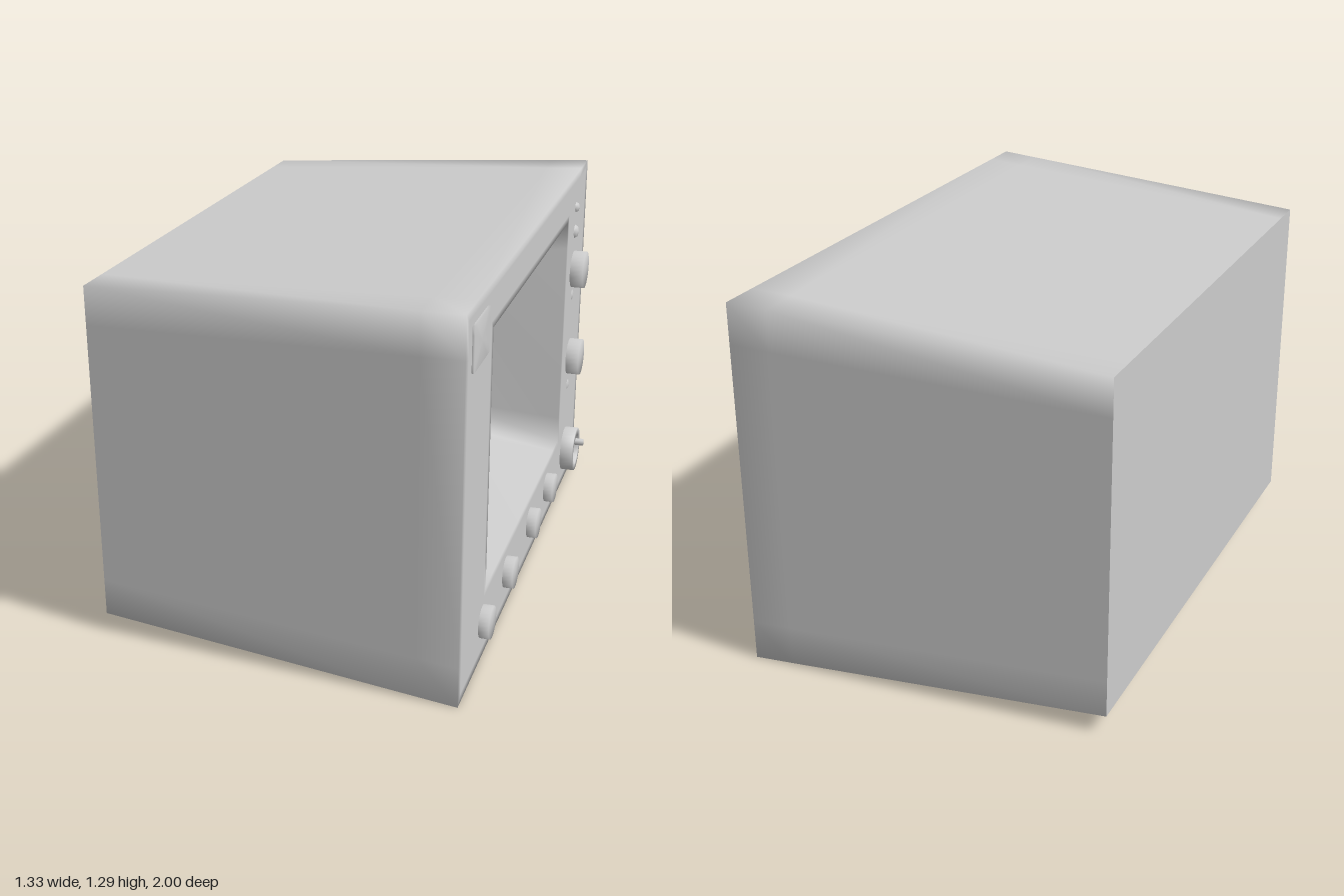
import * as THREE from 'three';

const FRONT = 0.59;
const material = new THREE.MeshStandardMaterial({ color: 0xcccccc });

function mesh(name, geometry, x = 0, y = 0, z = 0) {
  const m = new THREE.Mesh(geometry, material);
  m.name = name;
  m.position.set(x, y, z);
  return m;
}

// Rectangle in the zy plane, with an extra point either side of each corner
function ring(x, z0, z1, y0, y1, inset) {
  const corners = [[z1, y0], [z1, y1], [z0, y1], [z0, y0]];
  const points = [];
  corners.forEach(([z, y], i) => {
    const toward = ([tz, ty]) => {
      const k = inset / Math.hypot(tz - z, ty - y);
      return new THREE.Vector3(x, y + (ty - y) * k, z + (tz - z) * k);
    };
    points.push(toward(corners[(i + 3) % 4]), new THREE.Vector3(x, y, z), toward(corners[(i + 1) % 4]));
  });
  return points;
}

// Skin through the rings; a fan closes the last (or, reversed, the only) ring
function skin(rings, reverse = false) {
  const n = rings[0].length;
  const last = rings[rings.length - 1];
  const centre = last.reduce((s, p) => s.add(p), new THREE.Vector3()).divideScalar(n);
  const index = [];
  for (let r = 0; r < rings.length; r++) {
    for (let i = 0; i < n; i++) {
      const a = r * n + i, b = r * n + (i + 1) % n;
      if (r < rings.length - 1) index.push(a, a + n, b, b, a + n, b + n);
      else if (reverse) index.push(a, b, rings.length * n);
      else index.push(a, rings.length * n, b);
    }
  }
  const g = new THREE.BufferGeometry().setFromPoints([...rings.flat(), centre]);
  g.setIndex(index);
  g.computeVertexNormals();
  return g;
}

// Round part turned about the x axis; profile is [radius, distance out from the panel]
function turned(name, profile, y, z, sides = 24) {
  const g = new THREE.LatheGeometry(profile.map(p => new THREE.Vector2(...p)), sides);
  g.rotateZ(-Math.PI / 2);
  return mesh(name, g, FRONT, y, z);
}

const knob = (name, r, h, y, z) => turned(name, [[r, 0], [r, h], [0, h]], y, z);

export function createModel() {
  const model = new THREE.Group();

  // Tapered case, front panel and sunken screen as one soft-shaded skin
  const back = ring(-0.665, -0.905, 0.895, 0.066, 1.23, 0.13);
  model.add(mesh('caseAndScreen', skin([
    back,
    ring(0.45, -0.99, 0.988, 0.007, 1.288, 0.14),
    ring(FRONT, -1, 1, 0, 1.295, 0.14),
    ring(FRONT, -0.965, 0.965, 0.03, 1.265, 0.12),
    ring(FRONT, -0.63, 0.67, 0.215, 1.165, 0.12),
    ring(FRONT, -0.605, 0.645, 0.24, 1.14, 0.1),
    ring(0.13, -0.515, 0.555, 0.305, 1.075, 0.1),
    ring(0.13, -0.475, 0.515, 0.345, 1.035, 0.08),
  ])));
  model.add(mesh('backPanel', skin([back], true)));

  // Plain plate in the upper corner
  model.add(mesh('cornerPlate', skin([
    ring(FRONT, 0.73, 0.925, 1.09, 1.237, 0.03),
    ring(FRONT + 0.008, 0.73, 0.925, 1.09, 1.237, 0.03),
  ]), 0, 0, 0));

  // Knobs along the bottom and up the side
  for (const z of [0.685, 0.33, -0.07, -0.39]) model.add(knob('smallKnob', 0.056, 0.035, 0.135, z));
  for (const y of [0.91, 0.545]) model.add(knob('largeKnob', 0.072, 0.05, y, -0.775));

  // Indicator lamps
  for (const [y, r, h] of [[1.16, 0.02, 0.014], [1.063, 0.026, 0.015], [0.803, 0.02, 0.005], [0.423, 0.02, 0.005]]) {
    model.add(turned('indicatorLamp', [[r, 0], [r * 0.75, h * 0.7], [0, h]], y, -0.775, 16));
  }

  // Round socket with three pins
  const socket = new THREE.Group();
  socket.name = 'socket';
  const y = 0.145, z = -0.765;
  socket.add(turned('socketRing', [[0.088, 0], [0.088, 0.05], [0.06, 0.05], [0.06, 0.012]], y, z, 32));
  socket.add(turned('socketFloor', [[0.06, 0.012], [0, 0.012]], y, z, 32));
  for (const [dy, dz, h] of [[0.022, 0.03, 0.035], [0.022, -0.026, 0.075], [-0.025, 0, 0.035]]) {
    socket.add(knob('socketPin', 0.014, h, y + dy, z + dz));
  }
  model.add(socket);

  return model;
}
